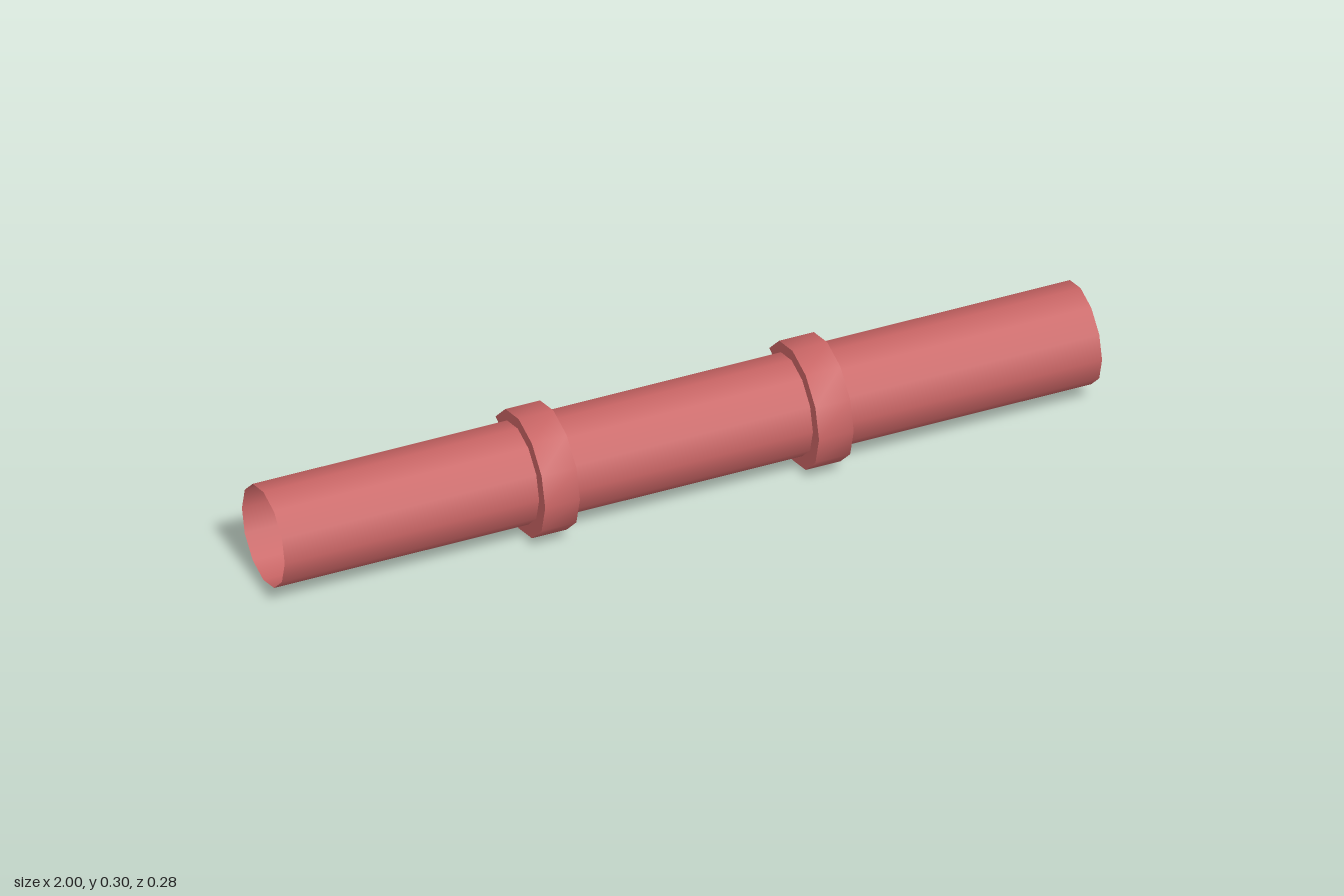
import * as THREE from 'three';
import { toCreasedNormals } from 'three/addons/utils/BufferGeometryUtils.js';

const SIDES = 12;
const CENTER_Y = 0.149;

// Points of an open arc in the (z, y) plane, leaving a gap at the back
function arc(radius, centerZ) {
  const points = [];
  for (let i = -5; i <= 5; i++) {
    const a = (i * Math.PI * 2) / SIDES;
    points.push(new THREE.Vector2(centerZ + radius * Math.cos(a), CENTER_Y + radius * Math.sin(a)));
  }
  return points;
}

export function createModel() {
  const model = new THREE.Group();
  model.name = 'clippedPipe';

  const red = new THREE.MeshStandardMaterial({ color: 0xc86464, side: THREE.DoubleSide });
  red.name = 'dusty red';

  // Open-ended pipe along x
  const pipeGeometry = new THREE.CylinderGeometry(0.12, 0.12, 2, SIDES, 1, true);
  pipeGeometry.rotateZ(Math.PI / 2);
  const pipe = new THREE.Mesh(pipeGeometry, red);
  pipe.name = 'pipe';
  pipe.position.set(0, CENTER_Y, -0.015);
  model.add(pipe);

  // C-shaped clips wrapping the front of the pipe
  const width = 0.085;
  const profile = new THREE.Shape([...arc(0.149, -0.01), ...arc(0.098, 0).reverse()]);
  const extruded = new THREE.ExtrudeGeometry(profile, { depth: width, bevelEnabled: false });
  extruded.translate(0, 0, -width / 2);
  extruded.rotateY(-Math.PI / 2);
  const clipGeometry = toCreasedNormals(extruded, Math.PI / 4);
  for (const [name, side] of [['leftClip', 1], ['rightClip', -1]]) {
    const clip = new THREE.Mesh(clipGeometry, red);
    clip.name = name;
    clip.position.x = side * 0.335;
    model.add(clip);
  }

  return model;
}
